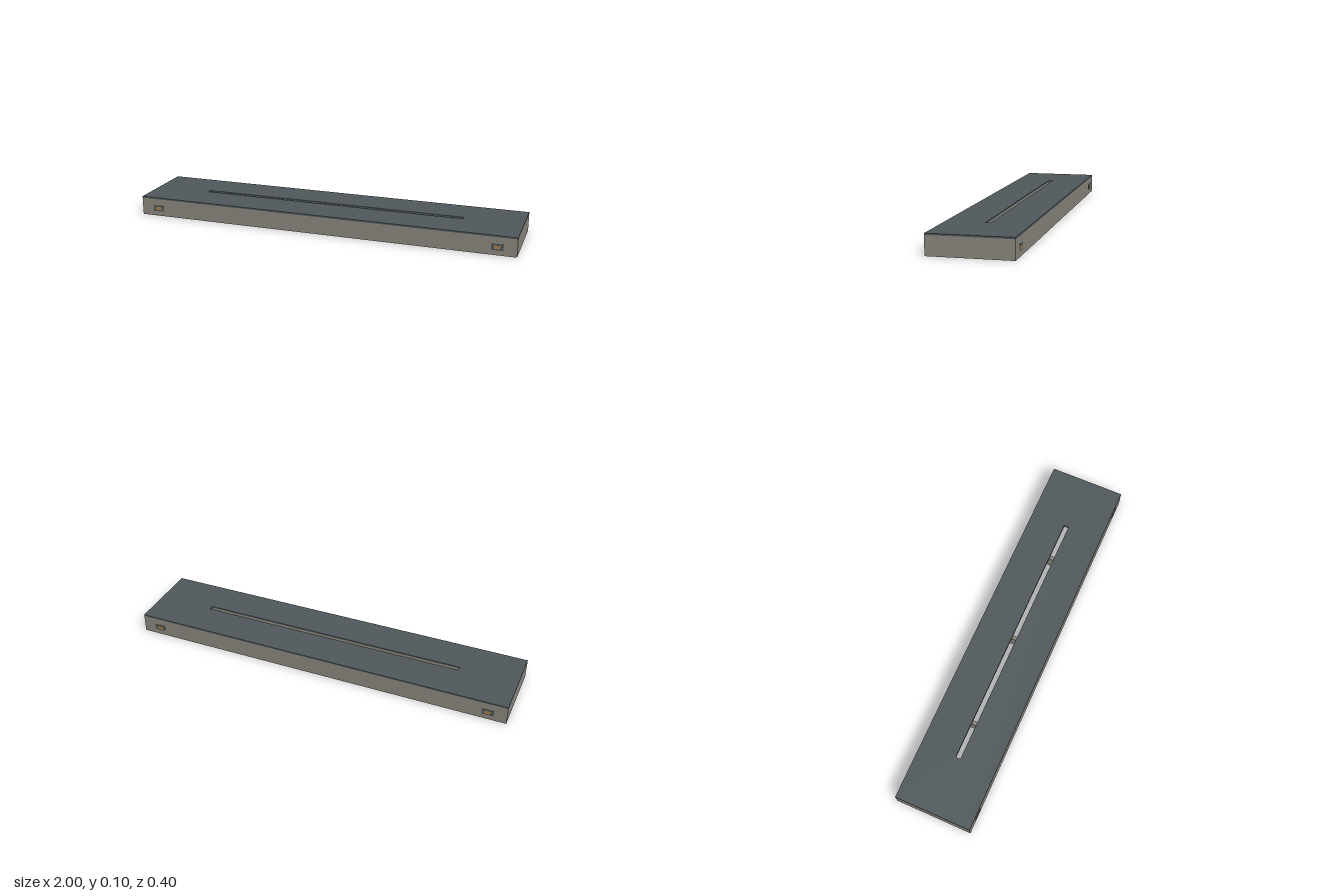
import * as THREE from 'three';

const concrete = new THREE.MeshStandardMaterial({ name: 'concrete', color: 0x8b887e });
const slate = new THREE.MeshStandardMaterial({ name: 'slate', color: 0x50595d });
const amber = new THREE.MeshStandardMaterial({ name: 'amber', color: 0xa8814a });

const LENGTH = 2, DEPTH = 0.4, COVER_BOTTOM = 0.092, HEIGHT = 0.1;
const CEILING = 0.08, WALL = 0.018;

function rect(Type, w, d) {
  const p = new Type();
  p.moveTo(-w / 2, -d / 2);
  p.lineTo(w / 2, -d / 2);
  p.lineTo(w / 2, d / 2);
  p.lineTo(-w / 2, d / 2);
  p.closePath();
  return p;
}

// Horizontal plate with a rectangular opening, from y0 to y1
function openPlate(name, holeW, holeD, y0, y1, material) {
  const shape = rect(THREE.Shape, LENGTH, DEPTH);
  shape.holes.push(rect(THREE.Path, holeW, holeD));
  const geo = new THREE.ExtrudeGeometry(shape, { depth: y1 - y0, bevelEnabled: false });
  geo.rotateX(-Math.PI / 2);
  geo.translate(0, y0, 0);
  const mesh = new THREE.Mesh(geo, material);
  mesh.name = name;
  return mesh;
}

function box(name, w, h, d, x, y, z, material) {
  const mesh = new THREE.Mesh(new THREE.BoxGeometry(w, h, d), material);
  mesh.name = name;
  mesh.position.set(x, y, z);
  return mesh;
}

export function createModel() {
  const model = new THREE.Group();
  model.name = 'slottedPlatform';

  // Hollow body: outer walls, slotted deck and thin top cover
  model.add(openPlate('outerWalls', LENGTH - 2 * WALL, DEPTH - 2 * WALL, 0, CEILING, concrete));
  model.add(openPlate('deck', 1.4, 0.025, CEILING, COVER_BOTTOM, concrete));
  model.add(openPlate('topCover', 1.4, 0.025, COVER_BOTTOM, HEIGHT, slate));

  // Cross ribs under the deck
  for (const x of [-0.5, 0, 0.5]) {
    model.add(box('crossRib', 0.02, CEILING, DEPTH - 2 * WALL, x, CEILING / 2, 0, concrete));
  }

  // Framed reflectors near both ends of the front and back
  for (const side of [1, -1]) {
    for (const x of [-0.905, 0.905]) {
      const reflector = new THREE.Group();
      reflector.name = 'reflector';
      reflector.position.set(x, 0.041, side * DEPTH / 2);
      reflector.add(box('reflectorFrame', 0.06, 0.032, 0.002, 0, 0, 0, slate));
      reflector.add(box('reflectorLens', 0.032, 0.017, 0.004, 0, 0, 0, amber));
      model.add(reflector);
    }
  }
  return model;
}
